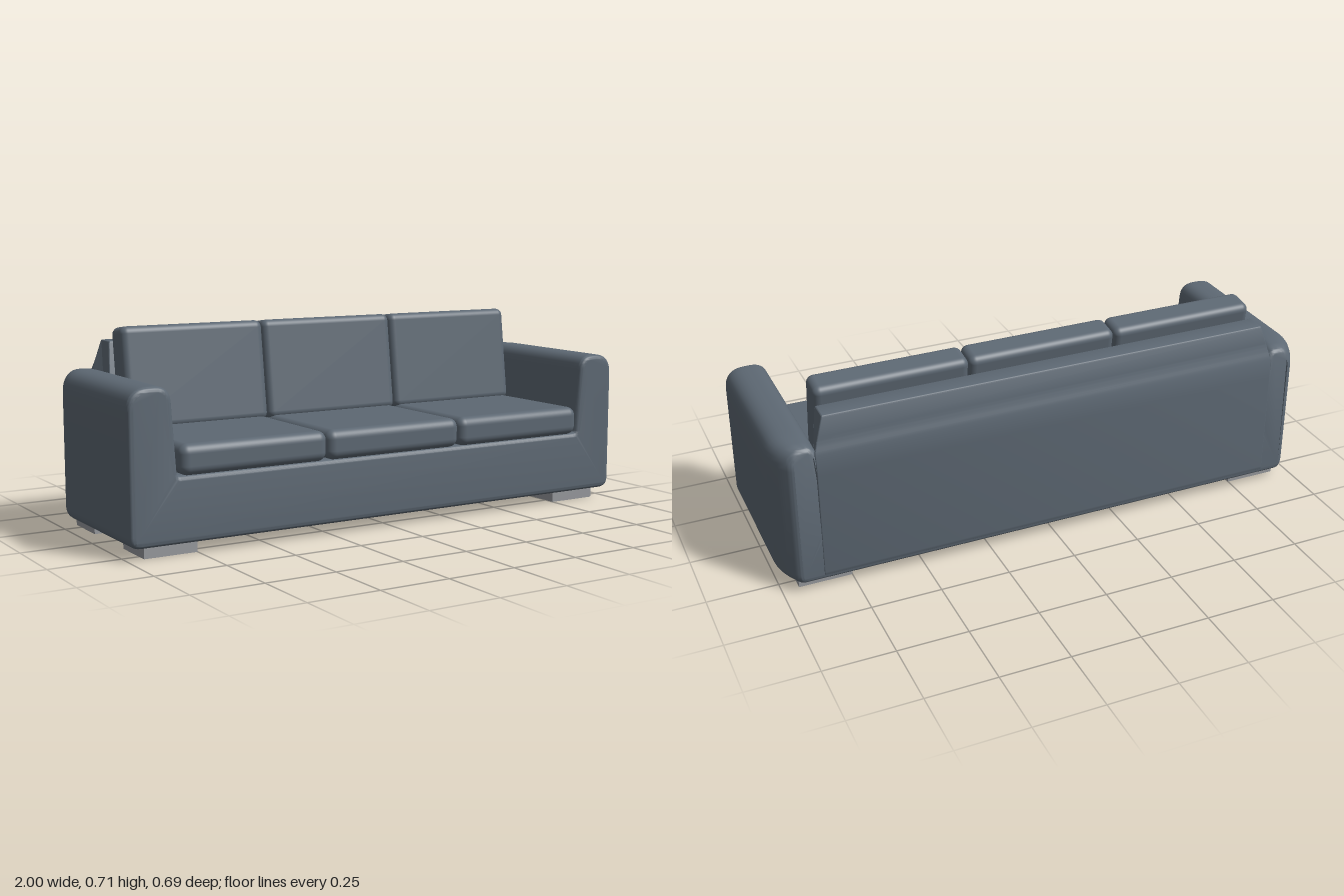
import * as THREE from 'three';
import { toCreasedNormals } from 'three/addons/utils/BufferGeometryUtils.js';
import { RoundedBoxGeometry } from 'three/addons/geometries/RoundedBoxGeometry.js';

const fabric = new THREE.MeshStandardMaterial({ color: 0x5d6873 });
const legGrey = new THREE.MeshStandardMaterial({ color: 0x97999d });

// Closed outline with a rounded corner at each [x, y, radius]
function roundedShape(corners) {
  const shape = new THREE.Shape();
  const n = corners.length;
  corners.forEach(([x, y, r], i) => {
    const toward = ([px, py]) => {
      const d = Math.hypot(px - x, py - y);
      return [x + ((px - x) / d) * r, y + ((py - y) / d) * r];
    };
    const a = toward(corners[(i + n - 1) % n]);
    const b = toward(corners[(i + 1) % n]);
    if (i === 0) shape.moveTo(...a);
    else shape.lineTo(...a);
    shape.quadraticCurveTo(x, y, ...b);
  });
  shape.closePath();
  return shape;
}

// Extrude between two depths, keeping the outline as its widest section
function extrude(shape, from, to, bevel, steps) {
  const geo = new THREE.ExtrudeGeometry(shape, {
    depth: to - from - 2 * bevel, steps, curveSegments: 8,
    bevelThickness: bevel, bevelSize: bevel, bevelOffset: -bevel, bevelSegments: 7,
  });
  return geo.translate(0, 0, from + bevel);
}

function moveVertices(geo, rule) {
  const p = geo.attributes.position;
  const v = new THREE.Vector3();
  for (let i = 0; i < p.count; i++) {
    rule(v.fromBufferAttribute(p, i));
    p.setXYZ(i, v.x, v.y, v.z);
  }
  return toCreasedNormals(geo, 0.45);
}

export function createModel() {
  const group = new THREE.Group();
  const add = (name, geo, material = fabric) => {
    const mesh = new THREE.Mesh(geo, material);
    mesh.name = name;
    group.add(mesh);
    return mesh;
  };

  // Base and both arms: one U section, its rear corners drawn in
  const frame = extrude(roundedShape([
    [-1, 0.04, 0.04], [1, 0.04, 0.04], [1, 0.558, 0.075], [0.85, 0.558, 0.055],
    [0.83, 0.265, 0.01], [-0.83, 0.265, 0.01], [-0.85, 0.558, 0.055], [-1, 0.558, 0.075],
  ]), -0.342, 0.325, 0.018, 20);
  add('frameWithArms', moveVertices(frame, (v) => {
    const t = THREE.MathUtils.clamp((-0.2 - v.z) / 0.142, 0, 1);
    const outer = Math.max(0, Math.abs(v.x) - 0.86);
    v.x -= Math.sign(v.x) * outer * 0.4 * t * t;
    // arm tops rise slightly, then round off at the rear
    const high = THREE.MathUtils.clamp((v.y - 0.49) / 0.07, 0, 1);
    v.y += high * (0.004 * (0.3 - v.z) / 0.6 - 0.012 * t * t);
    v.z += 0.016 * high * t * t;
  }));

  // Backrest: tapered side section covering the whole rear, ends leaning in
  const back = extrude(roundedShape([
    [0.165, 0.046, 0.005], [0.344, 0.046, 0.025], [0.344, 0.51, 0.06],
    [0.327, 0.56, 0.025], [0.314, 0.653, 0.008], [0.237, 0.653, 0.008],
  ]), -0.86, 0.86, 0.004, 1);
  // turn the section's first axis to -z
  back.rotateY(Math.PI / 2);
  add('backrest', moveVertices(back, (v) => {
    v.x *= 1 - 0.35 * Math.max(0, v.y - 0.53);
  }));

  // Three seat cushions and three leaning back cushions
  for (let i = -1; i <= 1; i++) {
    const x = i * 0.549 - 0.003;
    add('seatCushion', new RoundedBoxGeometry(0.548, 0.104, 0.5, 6, 0.032))
      .position.set(x, 0.315, 0.093);
    const cushion = add('backCushion', new RoundedBoxGeometry(0.548, 0.36, 0.108, 6, 0.026));
    cushion.position.set(x, 0.528, -0.149);
    cushion.rotation.x = -0.13;
  }

  // Four block feet
  for (const x of [-0.845, 0.845]) {
    for (const z of [0.207, -0.209]) {
      add('foot', new THREE.BoxGeometry(0.19, 0.05, 0.168), legGrey).position.set(x, 0.025, z);
    }
  }
  return group;
}
